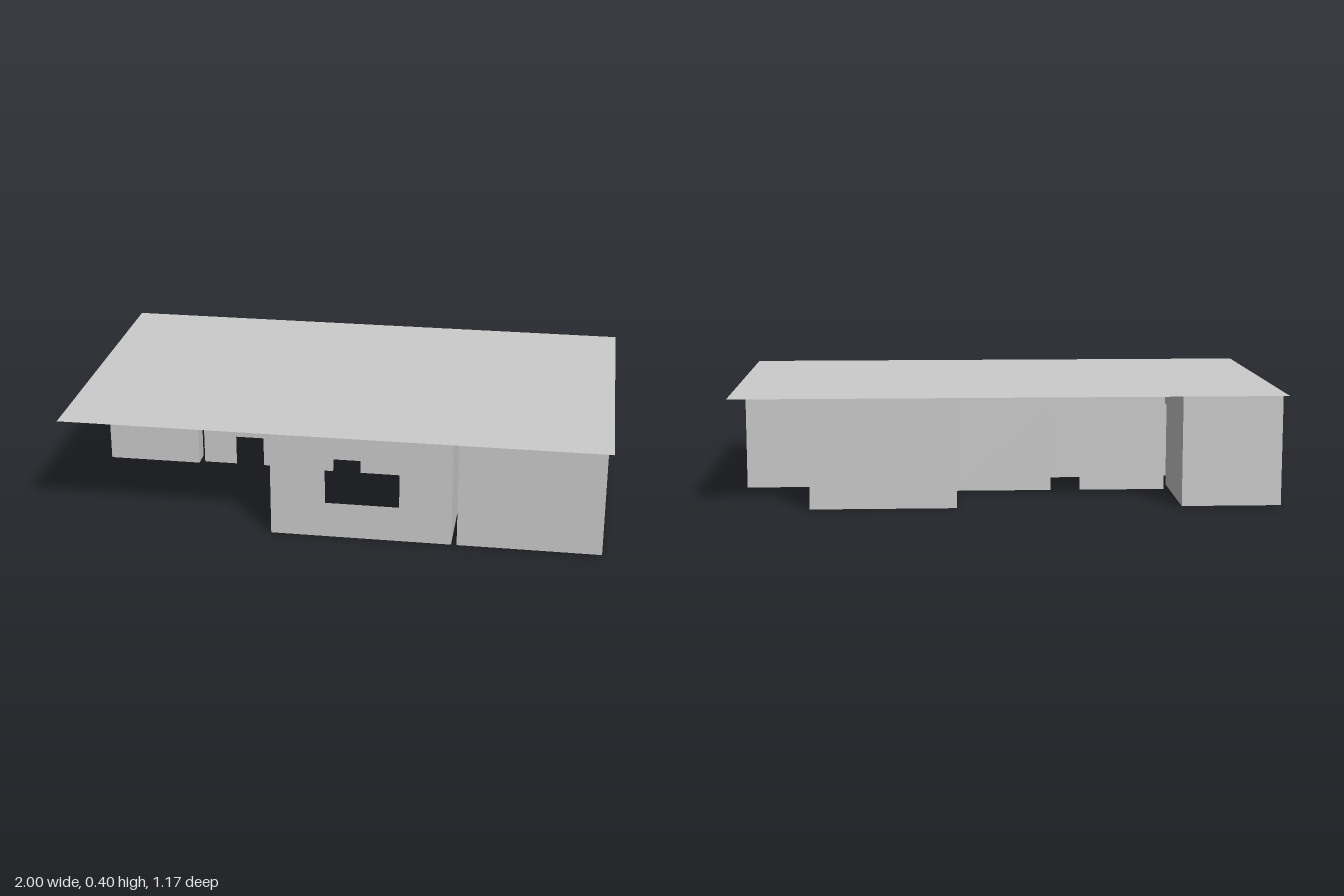
import * as THREE from 'three';

const HEIGHT = 0.4, DOOR = 0.31;
const material = new THREE.MeshStandardMaterial({ color: 0xcccccc, flatShading: true, side: THREE.DoubleSide });

// Thin upright wall between two plan points [x, z].
// Openings are [start, end, sill, head] in x or z along the wall; sill 0 is a doorway.
function wall(name, a, b, openings = []) {
  const alongX = a[1] === b[1];
  const axis = alongX ? 0 : 1;
  const from = Math.min(a[axis], b[axis]), to = Math.max(a[axis], b[axis]);
  const shape = new THREE.Shape();
  shape.moveTo(from, 0);
  for (const [s, e, sill, head] of openings) {
    if (sill > 0) {
      const hole = new THREE.Path();
      hole.moveTo(s, sill).lineTo(s, head).lineTo(e, head).lineTo(e, sill).closePath();
      shape.holes.push(hole);
    } else {
      shape.lineTo(s, 0).lineTo(s, head).lineTo(e, head).lineTo(e, 0);
    }
  }
  shape.lineTo(to, 0).lineTo(to, HEIGHT).lineTo(from, HEIGHT).closePath();
  const geometry = new THREE.ShapeGeometry(shape);
  if (alongX) geometry.translate(0, 0, a[1]);
  else geometry.rotateY(-Math.PI / 2).translate(a[0], 0, 0);
  const mesh = new THREE.Mesh(geometry, material);
  mesh.name = name;
  return mesh;
}

// Closed loop of walls around plan corners; openings are keyed by wall index.
function room(name, corners, openings) {
  const group = new THREE.Group();
  group.name = name;
  corners.forEach((corner, i) => {
    const next = corners[(i + 1) % corners.length];
    group.add(wall(`${name}Wall${i + 1}`, corner, next, openings[i]));
  });
  return group;
}

const rectangle = (x0, x1, z0, z1) => [[x0, z0], [x1, z0], [x1, z1], [x0, z1]];

export function createModel() {
  const house = new THREE.Group();
  house.name = 'house';

  // Large room: door to the hall, wide window on the side
  house.add(room('largeRoom', rectangle(0.46, 0.98, -0.15, 0.57), {
    0: [[0.58, 0.69, 0, DOOR]],
    1: [[0, 0.42, 0.135, DOOR]],
  }));

  // Middle room: door to the hall, front window
  house.add(room('middleRoom', rectangle(-0.22, 0.44, 0.02, 0.57), {
    0: [[-0.08, 0.03, 0, DOOR]],
    2: [[-0.02, 0.25, 0.135, DOOR]],
  }));

  // Small room: door to the hall, side window
  house.add(room('smallRoom', rectangle(-0.98, -0.62, -0.57, 0.02), {
    1: [[-0.16, -0.05, 0, DOOR]],
    3: [[-0.44, -0.13, 0.175, DOOR]],
  }));

  // L-shaped hall linking the rooms, with three outside doors
  const hallCorners = [
    [0.19, -0.57], [0.715, -0.57], [0.715, -0.165], [0.44, -0.165],
    [0.44, 0.005], [-0.6, 0.005], [-0.6, -0.25], [0.19, -0.25],
  ];
  house.add(room('hall', hallCorners, {
    1: [[-0.4, -0.29, 0, DOOR]],
    2: [[0.58, 0.69, 0, DOOR]],
    4: [[-0.47, -0.36, 0, DOOR], [-0.08, 0.03, 0, DOOR]],
    5: [[-0.16, -0.05, 0, DOOR]],
    6: [[-0.28, -0.17, 0, DOOR]],
  }));

  // Flat overhanging roof
  const roof = new THREE.Mesh(new THREE.PlaneGeometry(2, 1.17).rotateX(-Math.PI / 2), material);
  roof.name = 'roof';
  roof.position.y = HEIGHT;
  house.add(roof);

  return house;
}
